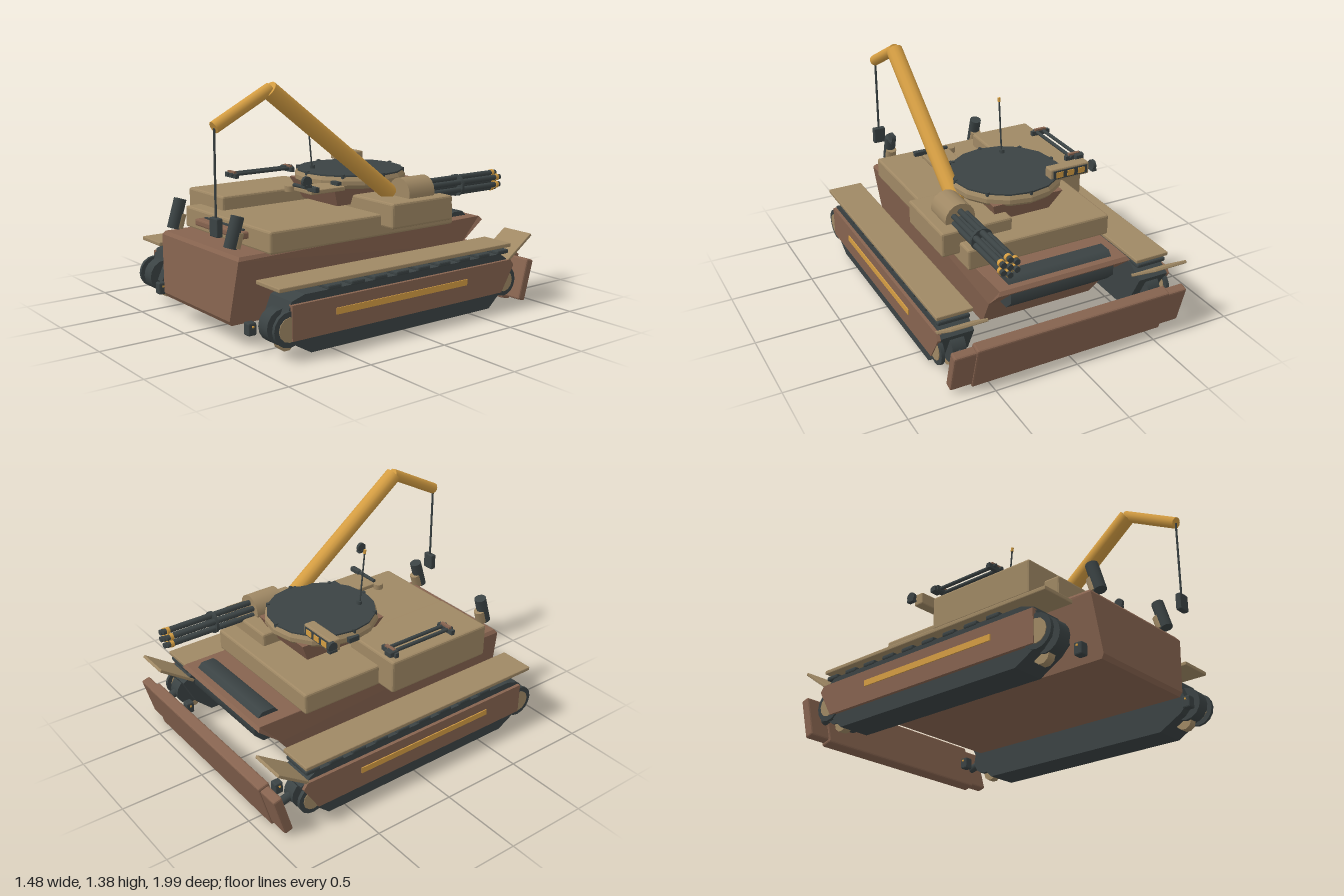
import * as THREE from 'three';
import { RoundedBoxGeometry } from 'three/addons/geometries/RoundedBoxGeometry.js';

const mat = (name, color) => {
  const m = new THREE.MeshStandardMaterial({ color });
  m.name = name;
  return m;
};

export function createModel() {
  const root = new THREE.Group();
  root.name = 'recoveryTank';
  const brown = mat('brown armour', 0x86634f);
  const tan = mat('tan armour', 0x9f8864);
  const dark = mat('dark steel', 0x3b4344);
  const gold = mat('yellow paint', 0xd49d42);

  const flat = (g) => {
    const f = g.index ? g.toNonIndexed() : g;
    f.computeVertexNormals();
    return f;
  };
  const add = (name, geo, m) => {
    const mesh = new THREE.Mesh(geo, m);
    mesh.name = name;
    root.add(mesh);
    return mesh;
  };
  // box given by its limits, with chamfered edges when c > 0
  const box = (name, m, x0, x1, y0, y1, z0, z1, c = 0) => {
    const s = [x1 - x0, y1 - y0, z1 - z0];
    const g = c ? flat(new RoundedBoxGeometry(...s, 1, c)) : new THREE.BoxGeometry(...s);
    const b = add(name, g, m);
    b.position.set((x0 + x1) / 2, (y0 + y1) / 2, (z0 + z1) / 2);
    return b;
  };
  // cylinder between two points
  const rod = (name, m, a, b, r, sides = 10, r2 = r) => {
    const p = new THREE.Vector3(...a), q = new THREE.Vector3(...b);
    const mesh = add(name, new THREE.CylinderGeometry(r2, r, p.distanceTo(q), sides), m);
    mesh.position.copy(p).add(q).multiplyScalar(0.5);
    mesh.quaternion.setFromUnitVectors(new THREE.Vector3(0, 1, 0), q.sub(p).normalize());
    return mesh;
  };
  // side profile of [z, y] points extruded across x, centred on x = 0
  const profile = (pts, width) => {
    const s = new THREE.Shape(pts.map(([z, y]) => new THREE.Vector2(z, y)));
    const g = new THREE.ExtrudeGeometry(s, { depth: width, bevelEnabled: false });
    g.translate(0, 0, -width / 2).rotateY(-Math.PI / 2);
    return g;
  };

  // Hull, narrowing towards the floor
  const hull = profile([[0.91, 0.115], [0.925, 0.14], [0.9, 0.47], [0.885, 0.49], [-0.84, 0.49],
    [-0.855, 0.47], [-0.7, 0.33], [-0.55, 0.115]], 2);
  const hp = hull.attributes.position;
  for (let i = 0; i < hp.count; i++) {
    const y = hp.getY(i);
    const half = y > 0.48 ? 0.395 : 0.35 + (0.06 * (y - 0.115)) / 0.355;
    hp.setX(i, hp.getX(i) * half);
  }
  add('hull', flat(hull), brown);

  // Deck blocks
  box('deckSlab', tan, -0.445, 0.445, 0.485, 0.61, -0.575, 0.725, 0.012);
  box('rightStowageBlock', tan, -0.57, -0.18, 0.49, 0.69, -0.07, 0.63, 0.012);
  box('gunPlatform', tan, 0.12, 0.55, 0.54, 0.685, -0.47, -0.02, 0.012);
  box('visionBar', brown, -0.235, 0.235, 0.535, 0.575, 0.7, 0.785, 0.01);
  box('visionSlit', dark, -0.2, 0.2, 0.57, 0.583, 0.71, 0.74);
  const engine = rod('engineVent', dark, [-0.32, 0.425, -0.735], [0.32, 0.425, -0.735], 0.1, 8);
  engine.rotateY(Math.PI / 8);

  for (const s of [-1, 1]) {
    const side = s < 0 ? 'right' : 'left';
    const sx = (name, m, x0, x1, ...r) =>
      box(side + name, m, Math.min(s * x0, s * x1), Math.max(s * x0, s * x1), ...r);

    // Track body
    const track = add(side + 'Track', profile([[0.66, 0.02], [0.8, 0.1], [0.85, 0.15], [0.78, 0.31],
      [0.7, 0.335], [-0.7, 0.335], [-0.8, 0.27], [-0.72, 0.11], [-0.62, 0.02]], 0.19), dark);
    track.position.x = s * 0.62;

    // Side armour with painted stripe
    const armour = add(side + 'SideArmour', profile([[0.79, 0.107], [0.79, 0.295], [-0.77, 0.295],
      [-0.795, 0.26], [-0.7, 0.107]].reverse(), 0.03), brown);
    armour.position.x = s * 0.72;
    sx('Stripe', gold, 0.734, 0.741, 0.2, 0.235, -0.415, 0.515);

    // Wheels at both ends
    for (const [name, z, r] of [['Sprocket', 0.8, 0.095], ['Idler', -0.73, 0.09]]) {
      rod(side + name, dark, [s * 0.58, 0.17, z], [s * 0.66, 0.17, z], r, 16);
      rod(side + name + 'Flange', dark, [s * 0.705, 0.17, z], [s * 0.725, 0.17, z], r, 16);
      rod(side + name + 'Hub', tan, [s * 0.7, 0.17, z], [s * 0.729, 0.17, z], r * 0.7, 12);
      rod(side + name + 'Roller', tan, [s * 0.6, 0.08, z * 0.96], [s * 0.65, 0.08, z * 0.96], 0.05, 10);
    }

    // Fender, rear flap and track teeth
    sx('Fender', tan, 0.515, 0.73, 0.37, 0.393, -0.775, 0.865, 0.005);
    const flap = sx('RearFlap', tan, 0.515, 0.73, 0.337, 0.355, -0.97, -0.708, 0.004);
    flap.rotation.x = Math.atan2(0.15, 0.215);
    for (let i = 0; i < 9; i++) {
      const z = 0.51 - i * 0.154 + (i * 0.0);
      sx('TrackTooth', dark, 0.53, 0.72, 0.33, 0.356, z - 0.045, z + 0.045, 0.008);
    }

    // Marker lamps at front and back
    for (const z of [0.88, -0.8]) {
      sx('MarkerLamp', dark, 0.455, 0.507, 0.095, 0.165, z - 0.025, z + 0.025, 0.008);
      sx('LampBand', gold, 0.448, 0.514, 0.14, 0.15, z - 0.005, z + 0.005);
    }

    // Smoke launchers on the bow
    rod(side + 'SmokeTube', dark, [s * 0.305, 0.52, 0.885], [s * 0.305, 0.685, 0.835], 0.036, 12);
    rod(side + 'SmokeTubeSleeve', tan, [s * 0.305, 0.52, 0.86], [s * 0.305, 0.6, 0.835], 0.034, 12);

    // Blade arms
    rod(side + 'BladeArm', dark, [s * 0.62, 0.18, -0.75], [s * 0.62, 0.135, -0.91], 0.025, 8);
  }

  // Dozer blade at the back
  for (const [name, half, h, t] of [['bladeCentre', 0.6, 0.285, 0.07], ['bladeWings', 0.725, 0.25, 0.055]]) {
    const blade = box(name, brown, -half, half, 0.145 - h / 2, 0.145 + h / 2, -0.92 - t / 2, -0.92 + t / 2, 0.01);
    blade.rotation.x = -0.27;
  }

  // Turret: tapered basket, rounded ring and lid
  const basket = new THREE.CylinderGeometry(0.22 * Math.SQRT2, 0.17 * Math.SQRT2, 0.13, 4);
  basket.rotateY(Math.PI / 4).scale(1, 1, 1.3);
  add('turretBasket', flat(basket), brown).position.set(0, 0.69, -0.145);
  const ringPts = [[0, 0.725], [0.27, 0.725], [0.31, 0.735], [0.33, 0.755], [0.33, 0.78], [0.318, 0.802], [0, 0.802]];
  const ring = new THREE.LatheGeometry(ringPts.map(([r, y]) => new THREE.Vector2(r, y)), 16);
  add('turretRing', flat(ring), tan).position.z = -0.145;
  rod('turretLid', dark, [0, 0.79, -0.145], [0, 0.811, -0.145], 0.318, 16);
  for (let i = 0; i < 8; i++) {
    const a = (i * Math.PI) / 4, x = 0.312 * Math.sin(a), z = -0.145 + 0.312 * Math.cos(a);
    rod('lidBolt', dark, [x, 0.785, z], [x, 0.817, z], 0.012, 8);
  }
  box('turretSideLamp', dark, -0.345, -0.31, 0.755, 0.785, -0.2, -0.13);

  // Rear sight with lit windows
  box('sightBox', tan, -0.42, -0.17, 0.795, 0.868, -0.385, -0.318, 0.008);
  box('sightPanel', dark, -0.405, -0.185, 0.807, 0.857, -0.39, -0.384);
  for (const x of [-0.365, -0.295, -0.225])
    box('sightWindow', gold, x - 0.022, x + 0.022, 0.815, 0.849, -0.394, -0.389);

  // Mirrors
  for (const [x, z] of [[-0.438, -0.39], [0.435, 0.485]]) {
    rod('mirror', dark, [x - 0.01, 0.848, z], [x + 0.01, 0.848, z], 0.03, 12);
    box('mirrorFoot', dark, x - 0.014, x + 0.014, 0.816, 0.83, z - 0.025, z + 0.025);
  }

  // Antenna
  rod('antennaBase', dark, [-0.093, 0.805, 0.06], [-0.093, 0.83, 0.063], 0.016, 8);
  rod('antenna', dark, [-0.093, 0.81, 0.065], [-0.093, 1.13, 0.097], 0.005, 6);
  rod('antennaTip', gold, [-0.093, 1.125, 0.096], [-0.093, 1.148, 0.099], 0.009, 6);

  // Hatch plate with its small arm
  box('hatchPlate', tan, 0.12, 0.3, 0.74, 0.765, 0.12, 0.355, 0.005);
  rod('hatchKnob', tan, [0.105, 0.735, 0.362], [0.105, 0.768, 0.362], 0.03, 10);
  rod('hatchArm', dark, [0.13, 0.775, 0.352], [0.3, 0.775, 0.352], 0.011, 8);
  box('hatchLatch', dark, 0.2, 0.265, 0.76, 0.785, 0.12, 0.15);
  box('hatchArmEnd', dark, 0.27, 0.35, 0.76, 0.79, 0.335, 0.365, 0.005);

  // Tool rack on the right
  for (const x of [-0.545, -0.497]) rod('rackRod', dark, [x, 0.748, -0.08], [x, 0.748, 0.38], 0.011, 8);
  for (const z of [-0.055, 0.355]) {
    box('rackBar', dark, -0.585, -0.462, 0.727, 0.755, z - 0.012, z + 0.012);
    box('rackClamp', brown, -0.56, -0.485, 0.752, 0.767, z - 0.01, z + 0.01);
  }
  box('rackBlock', dark, -0.572, -0.518, 0.73, 0.763, -0.095, -0.035, 0.005);

  // Rotary gun pointing backwards
  const gx = 0.398, gy = 0.705;
  rod('gunHousing', tan, [gx, gy, -0.195], [gx, gy, -0.385], 0.09, 16);
  rod('gunClamp', dark, [gx, gy, -0.632], [gx, gy, -0.65], 0.066, 14);
  for (let i = 0; i < 7; i++) {
    const a = (i * Math.PI) / 3, r = i < 6 ? 0.045 : 0;
    const x = gx + r * Math.sin(a), y = gy + r * Math.cos(a);
    rod('gunBarrel', dark, [x, y, -0.38], [x, y, -0.965], 0.017, 10);
    rod('barrelBand', gold, [x, y, -0.925], [x, y, -0.945], 0.021, 10);
  }

  // Crane with cable and hook block
  const cx = 0.328;
  rod('craneBoom', gold, [cx, 0.7, -0.18], [cx, 1.337, 0.648], 0.05, 14);
  rod('craneJib', gold, [cx, 1.342, 0.64], [cx, 1.163, 0.982], 0.034, 12);
  rod('craneCable', dark, [cx, 1.16, 0.98], [cx, 0.69, 0.98], 0.007, 6);
  box('hookBlock', dark, cx - 0.038, cx + 0.038, 0.6, 0.7, 0.962, 0.998, 0.006);

  return root;
}
